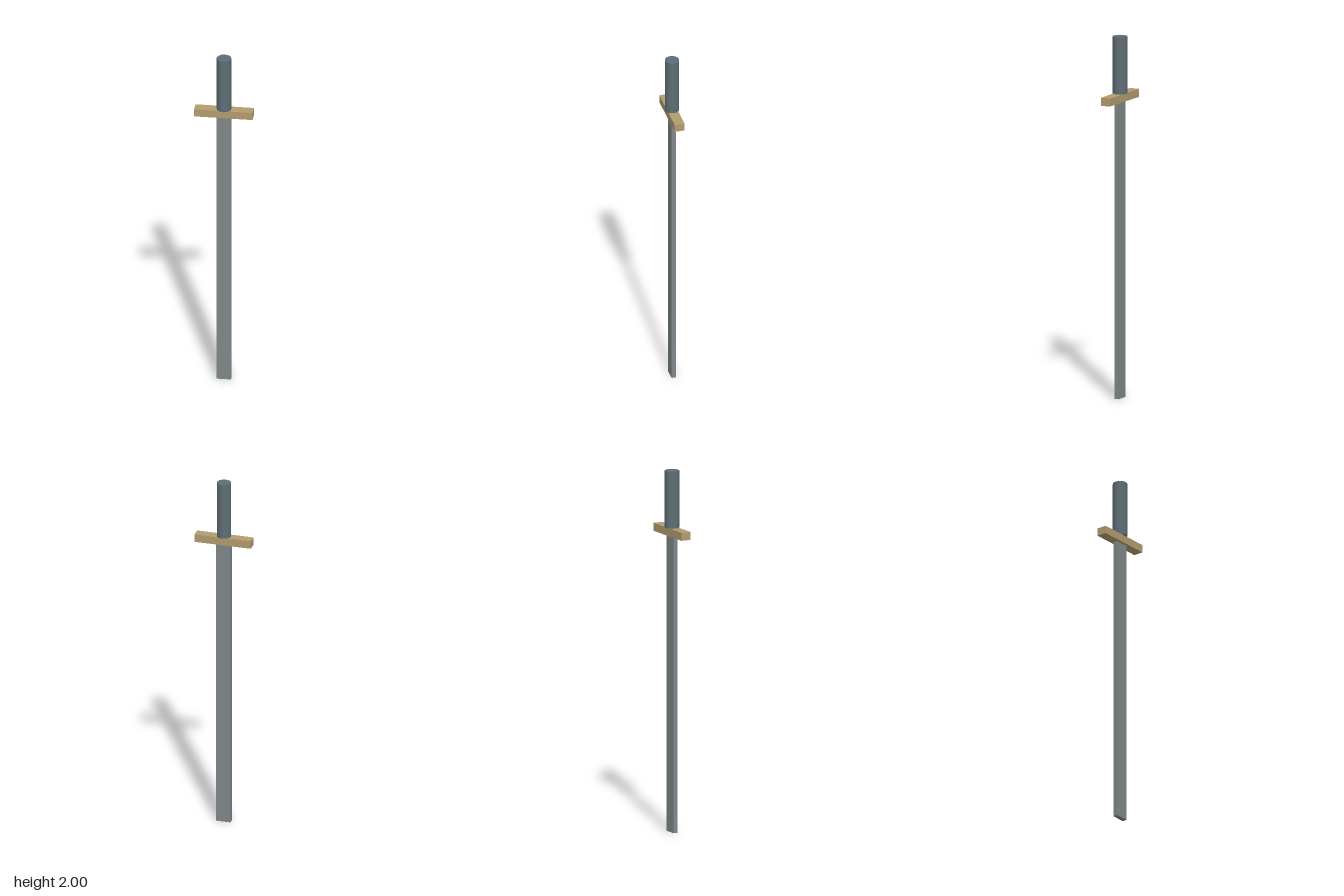
import * as THREE from 'three';

export function createModel() {
  const model = new THREE.Group();
  model.name = 'sword';

  const add = (name, geometry, color, y) => {
    const mesh = new THREE.Mesh(geometry, new THREE.MeshStandardMaterial({ color }));
    mesh.name = name;
    mesh.position.y = y;
    model.add(mesh);
  };

  const bladeTop = 1.64, guardTop = 1.684, top = 2;

  // Flat, square-ended blade
  add('blade', new THREE.BoxGeometry(0.08, bladeTop, 0.026), 0x80878a, bladeTop / 2);

  // Crossguard bar
  add('crossguard', new THREE.BoxGeometry(0.32, guardTop - bladeTop, 0.056), 0xb39c70, (bladeTop + guardTop) / 2);

  // Round grip
  add('grip', new THREE.CylinderGeometry(0.04, 0.04, top - guardTop, 12), 0x5f6e76, (guardTop + top) / 2);

  return model;
}
